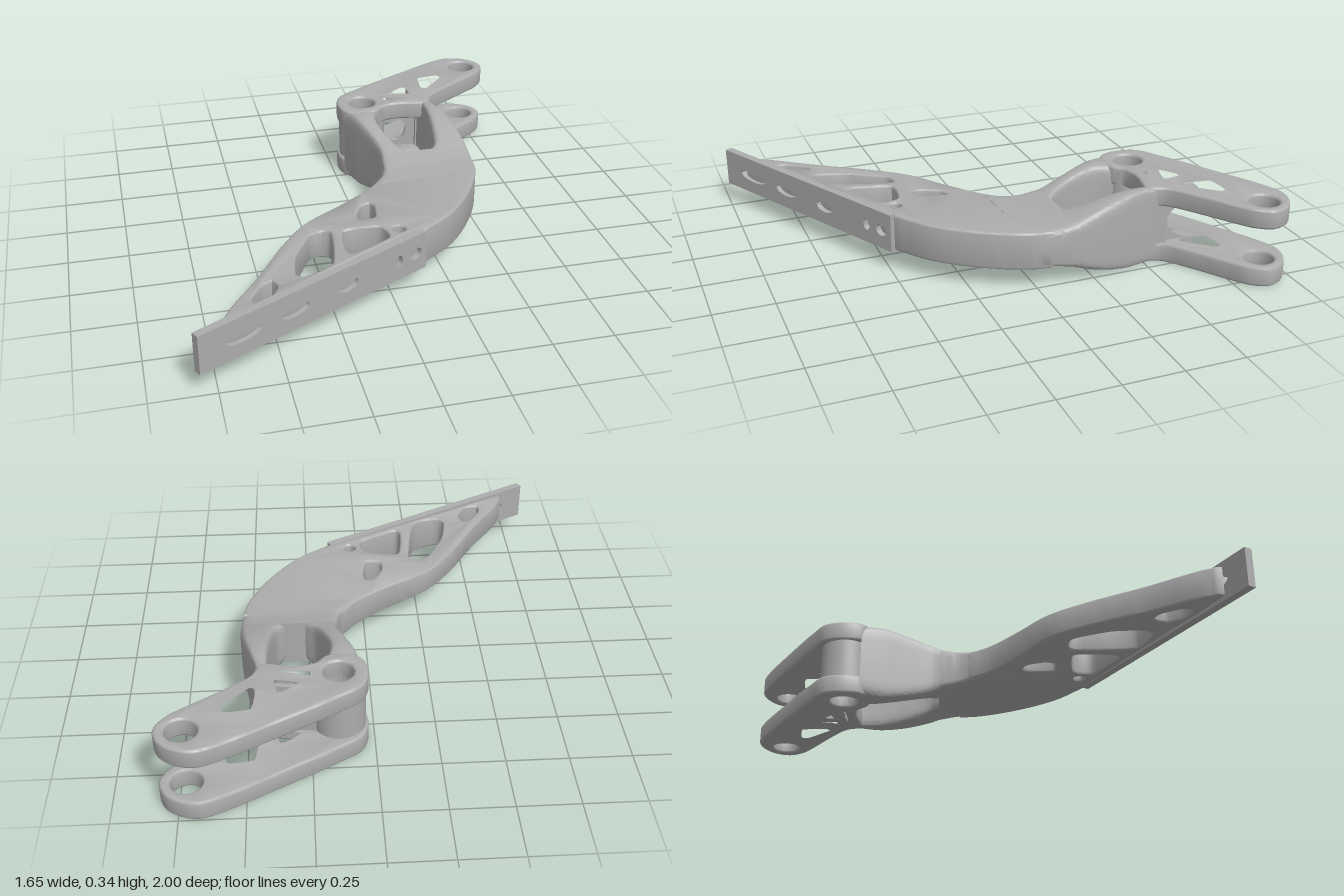
import * as THREE from 'three';
import { toCreasedNormals } from 'three/addons/utils/BufferGeometryUtils.js';

const MID = 0.168; // height of the symmetry plane
const metal = new THREE.MeshStandardMaterial({ color: 0xadadad });
metal.name = 'castGrey';

// Smooth plan curve through [x, z] points, returned as 2D points with z flipped for extrusion
function smooth(pts, closed = true, type = 'centripetal') {
  const c = new THREE.CatmullRomCurve3(pts.map(([x, z]) => new THREE.Vector3(x, 0, z)), closed, type, 0.3);
  return c.getPoints(pts.length * 5).map(p => new THREE.Vector2(p.x, -p.z)).slice(0, closed ? -1 : undefined);
}

// Window with tight corners
function cutout(pts) {
  return new THREE.Path(smooth(pts, true, 'catmullrom'));
}

function circle(x, z, r) {
  return new THREE.Path().absarc(x, -z, r, 0, Math.PI * 2);
}

function add(group, name, geo) {
  const mesh = new THREE.Mesh(toCreasedNormals(geo, 0.7), metal);
  mesh.name = name;
  group.add(mesh);
  return mesh;
}

// Upright extrusion of a plan shape between two heights, with softened rims
function slab(shape, y0, y1, bevel) {
  const geo = new THREE.ExtrudeGeometry(shape, {
    depth: y1 - y0 - 2 * bevel, bevelEnabled: bevel > 0, bevelSize: bevel, bevelThickness: bevel,
    bevelOffset: -bevel, bevelSegments: 3, curveSegments: 28,
  });
  return geo.rotateX(-Math.PI / 2).translate(0, y0 + bevel, 0);
}

// Rounded-box loft; every section is [xLeft, zLeft, xRight, zRight, halfHeightRight, halfHeightLeft]
function loft(sections, power = 6) {
  const side = (k, h) => new THREE.CatmullRomCurve3(
    sections.map(s => new THREE.Vector3(s[k], s[h] ?? s[4], s[k + 1])));
  const left = side(0, 5), right = side(2, 4), rows = sections.length * 6, n = 32;
  const pos = [], idx = [];
  const soft = v => Math.sign(v) * Math.abs(v) ** (2 / power);
  for (let i = 0; i <= rows; i++) {
    const a = left.getPoint(i / rows), b = right.getPoint(i / rows);
    for (let j = 0; j < n; j++) {
      const t = (j / n) * Math.PI * 2, u = (soft(Math.cos(t)) + 1) / 2;
      const p = a.clone().lerp(b, u);
      pos.push(p.x, MID + p.y * soft(Math.sin(t)), p.z);
    }
  }
  for (let i = 0; i < rows; i++) for (let j = 0; j < n; j++) {
    const a = i * n + j, b = i * n + (j + 1) % n;
    idx.push(a, a + n, b, b, a + n, b + n);
  }
  // end caps
  for (let j = 1; j < n - 1; j++) {
    const e = rows * n;
    idx.push(0, j, j + 1, e, e + j + 1, e + j);
  }
  const geo = new THREE.BufferGeometry();
  geo.setAttribute('position', new THREE.Float32BufferAttribute(pos, 3));
  geo.setIndex(idx);
  return geo;
}

export function createModel() {
  const model = new THREE.Group();
  model.name = 'bracket';

  // Lightened arm, outlined counter-clockwise so that its windows bevel the right way
  const leftEdge = smooth([[-0.71, 0.885], [-0.67, 0.81], [-0.55, 0.64], [-0.42, 0.43],
    [-0.30, 0.28], [-0.13, 0.17], [0.03, 0.055], [0.10, -0.03]], false);
  const rightEdge = smooth([[0.52, -0.06], [0.505, 0.03], [0.425, 0.20], [0.295, 0.37], [0.15, 0.478]], false);
  const arm = new THREE.Shape([...leftEdge, ...rightEdge, new THREE.Vector2(0.12, -0.485),
    new THREE.Vector2(-0.71, -0.925)].reverse());
  const windows = [
    [[-0.01, 0.20], [0, 0.24], [-0.02, 0.33], [-0.08, 0.33], [-0.085, 0.285], [-0.05, 0.215]],
    [[-0.245, 0.37], [-0.215, 0.40], [-0.26, 0.64], [-0.37, 0.69], [-0.405, 0.66], [-0.38, 0.53], [-0.30, 0.385]],
    [[-0.165, 0.40], [-0.02, 0.415], [-0.005, 0.50], [-0.165, 0.585], [-0.19, 0.55]],
    [[-0.5, 0.68], [-0.485, 0.73], [-0.525, 0.795], [-0.585, 0.81], [-0.585, 0.77], [-0.54, 0.70]],
  ];
  windows.forEach(w => arm.holes.push(cutout(w)));
  arm.holes.push(circle(0.05, 0.447, 0.025));
  const armGeo = slab(arm, MID - 0.08, MID + 0.08, 0.01);
  // thin the arm towards its left rib
  const p = armGeo.attributes.position;
  for (let i = 0; i < p.count; i++) {
    const d = (p.getX(i) + 0.71) * 0.749 + (p.getZ(i) - 0.885) * 0.663;
    const f = THREE.MathUtils.mapLinear(THREE.MathUtils.clamp(d, -0.1, 0.18), -0.1, 0.18, 0.65, 1);
    p.setY(i, MID + (p.getY(i) - MID) * f);
  }
  add(model, 'arm', armGeo);

  // Mounting flange with pockets along the straight diagonal edge
  const flange = new THREE.Shape([[0, 0.086], [1.082, 0.086], [1.082, 0.25], [0, 0.25]]
    .map(q => new THREE.Vector2(...q)));
  [[0.107, 0.276], [0.355, 0.49], [0.625, 0.727], [0.92, 0.955], [0.995, 1.055]].forEach(([a, b]) => {
    flange.holes.push(new THREE.Path().absellipse((a + b) / 2, MID, (b - a) / 2, 0.026, 0, Math.PI * 2));
  });
  const flangeMesh = add(model, 'mountingFlange',
    new THREE.ExtrudeGeometry(flange, { depth: 0.034, bevelEnabled: false }).translate(0, 0, -0.034));
  flangeMesh.rotation.y = 0.48;
  flangeMesh.position.set(-0.81, 0, 0.998);

  // Neck, then two struts that flare to the height of the fork
  add(model, 'neck', loft([[0.03, 0.055, 0.495, 0.05, 0.08, 0.065], [0.08, 0, 0.514, -0.01, 0.081, 0.072],
    [0.115, -0.06, 0.525, -0.08, 0.084, 0.08], [0.13, -0.155, 0.53, -0.16, 0.1]], 10));
  add(model, 'leftStrut', loft([[0.122, -0.1, 0.3, -0.1, 0.084], [0.13, -0.155, 0.265, -0.155, 0.1],
    [0.13, -0.2, 0.222, -0.2, 0.115], [0.10, -0.31, 0.18, -0.31, 0.147], [0.07, -0.40, 0.17, -0.40, 0.166],
    [0.04, -0.5, 0.2, -0.5, 0.166]]));
  add(model, 'rightStrut', loft([[0.32, -0.1, 0.527, -0.1, 0.084], [0.345, -0.155, 0.53, -0.155, 0.1],
    [0.38, -0.2, 0.53, -0.2, 0.115], [0.40, -0.31, 0.515, -0.31, 0.147], [0.41, -0.42, 0.488, -0.42, 0.166],
    [0.412, -0.52, 0.462, -0.52, 0.166], [0.40, -0.595, 0.465, -0.595, 0.166]]));

  // Fork plates, one above the other
  const plate = new THREE.Shape(smooth([[0.04, -0.5], [0.025, -0.58], [0.05, -0.66], [0.135, -0.72],
    [0.37, -0.855], [0.61, -0.982], [0.675, -1], [0.74, -0.985], [0.80, -0.94], [0.823, -0.87], [0.785, -0.8],
    [0.72, -0.75], [0.585, -0.66], [0.475, -0.575], [0.44, -0.51], [0.3, -0.525], [0.23, -0.51],
    [0.18, -0.465], [0.08, -0.465]]));
  plate.holes.push(circle(0.14, -0.57, 0.061), circle(0.72, -0.88, 0.061));
  [
    [[0.465, -0.79], [0.57, -0.803], [0.59, -0.765], [0.53, -0.695], [0.48, -0.645], [0.445, -0.665], [0.45, -0.73]],
    [[0.275, -0.635], [0.34, -0.69], [0.378, -0.70], [0.392, -0.66], [0.395, -0.605], [0.34, -0.61]],
    [[0.245, -0.605], [0.32, -0.585], [0.385, -0.57], [0.38, -0.553], [0.245, -0.56]],
  ].forEach(h => plate.holes.push(cutout(h)));
  add(model, 'lowerForkPlate', slab(plate, 0, 0.084, 0.011));
  add(model, 'upperForkPlate', slab(plate, 0.252, 0.336, 0.011));

  // Bored post joining the plates
  const post = new THREE.Shape().absarc(0.14, 0.57, 0.106, 0, Math.PI * 2);
  post.holes.push(circle(0.14, -0.57, 0.061));
  add(model, 'pivotPost', slab(post, 0.02, 0.316, 0));

  // Pierced web between the post and the right strut
  const web = new THREE.Shape([[0, 0.04], [0.2, 0.04], [0.2, 0.296], [0, 0.296]].map(q => new THREE.Vector2(...q)));
  web.holes.push(new THREE.Path().absellipse(0.085, MID, 0.052, 0.06, 0, Math.PI * 2));
  const webMesh = add(model, 'piercedWeb', new THREE.ExtrudeGeometry(web, { depth: 0.022, bevelEnabled: false }));
  webMesh.rotation.y = -0.14;
  webMesh.position.set(0.225, 0, -0.626);

  // Rounded throat of the fork behind the right strut
  const throat = new THREE.Shape();
  throat.moveTo(0.56, 0.03);
  throat.lineTo(0.74, 0.03);
  throat.lineTo(0.74, MID - 0.085);
  throat.absellipse(0.74, MID, 0.135, 0.085, -Math.PI / 2, Math.PI / 2, true);
  throat.lineTo(0.74, 0.306);
  throat.lineTo(0.56, 0.306);
  add(model, 'forkThroat', new THREE.ExtrudeGeometry(throat, { depth: 0.045, bevelEnabled: false, curveSegments: 16 })
    .rotateY(Math.PI / 2).translate(0.4, 0, 0));

  return model;
}
